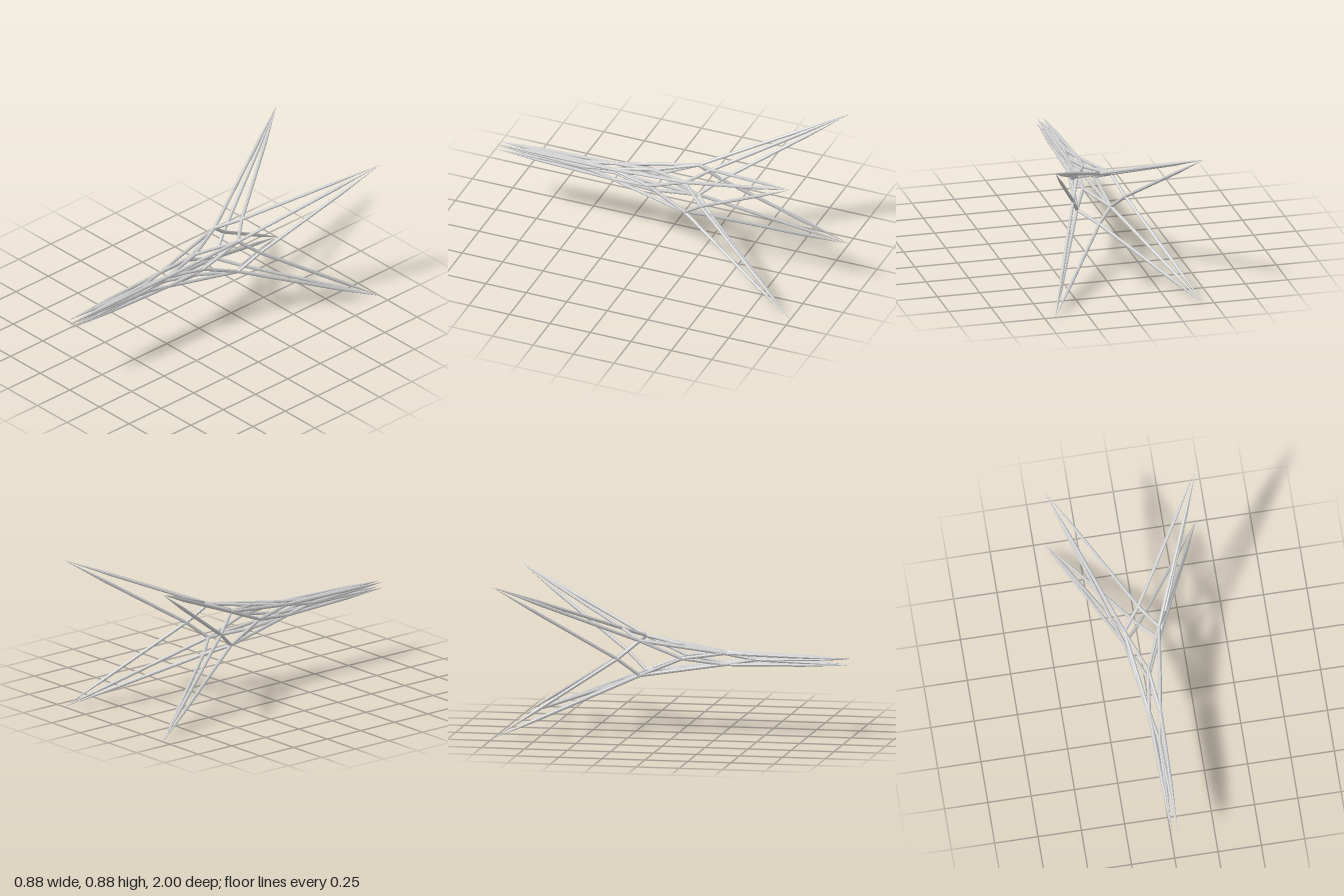
import * as THREE from 'three';

const CENTRE_Y = 0.44;
const ROD = 0.01;
const TAPER = 0.28;
const SIDES = 8;

export function createModel() {
  const model = new THREE.Group();
  model.name = 'latticeSculpture';
  const steel = new THREE.MeshStandardMaterial({ color: 0xcccccc, flatShading: true });
  steel.name = 'light grey steel';

  // Four nodes around the z axis: on the diagonals or on the axes
  const diagonalRing = (d, z) => [[1, 1], [-1, 1], [-1, -1], [1, -1]]
    .map(([x, y]) => new THREE.Vector3(x * d, CENTRE_Y + y * d, z));
  const axisRing = (r, z) => [[1, 0], [0, 1], [-1, 0], [0, -1]]
    .map(([x, y]) => new THREE.Vector3(x * r, CENTRE_Y + y * r, z));

  const backTips = diagonalRing(0.438, -1);
  const backCrossings = axisRing(0.154, -0.33);
  const shoulders = diagonalRing(0.1, -0.21);
  const waist = axisRing(0.068, 0.03);
  const neck = diagonalRing(0.032, 0.27);
  const frontCrossings = axisRing(0.023, 0.45);
  const frontTips = diagonalRing(0.017, 1);

  // Straight rod; a pointed rod narrows to nothing at its end
  function rod(name, a, b, pointed = false) {
    const length = a.distanceTo(b);
    const profile = [new THREE.Vector2(0, 0), new THREE.Vector2(ROD, 0)];
    if (pointed) {
      profile.push(new THREE.Vector2(ROD, length - TAPER), new THREE.Vector2(0, length));
    } else {
      profile.push(new THREE.Vector2(ROD, length), new THREE.Vector2(0, length));
    }
    const mesh = new THREE.Mesh(new THREE.LatheGeometry(profile, SIDES), steel);
    mesh.name = name;
    mesh.position.copy(a);
    mesh.quaternion.setFromUnitVectors(new THREE.Vector3(0, 1, 0), b.clone().sub(a).normalize());
    model.add(mesh);
  }

  // Rods from each axis node to its two diagonal neighbours
  function zigzag(name, axis, diagonal, pointed = false) {
    for (let i = 0; i < 4; i++) {
      rod(name, axis[i], diagonal[i], pointed);
      rod(name, axis[i], diagonal[(i + 3) % 4], pointed);
    }
  }

  // Long corner rods running front to back
  for (let i = 0; i < 4; i++) {
    rod('backSpike', shoulders[i], backTips[i], true);
    rod('cornerRod', shoulders[i], neck[i]);
    rod('frontSpike', neck[i], frontTips[i], true);
  }

  // Crossing rods between the rings
  zigzag('backSpikeBrace', backCrossings, backTips, true);
  zigzag('backRing', backCrossings, shoulders);
  zigzag('shoulderBrace', waist, shoulders);
  zigzag('neckBrace', waist, neck);
  zigzag('frontRing', frontCrossings, neck);
  zigzag('frontSpikeBrace', frontCrossings, frontTips, true);

  // Small joints closing the gaps where rods meet
  for (const ring of [backCrossings, shoulders, waist, neck, frontCrossings]) {
    for (const p of ring) {
      const joint = new THREE.Mesh(new THREE.SphereGeometry(ROD, SIDES, 6), steel);
      joint.name = 'joint';
      joint.position.copy(p);
      model.add(joint);
    }
  }
  return model;
}
